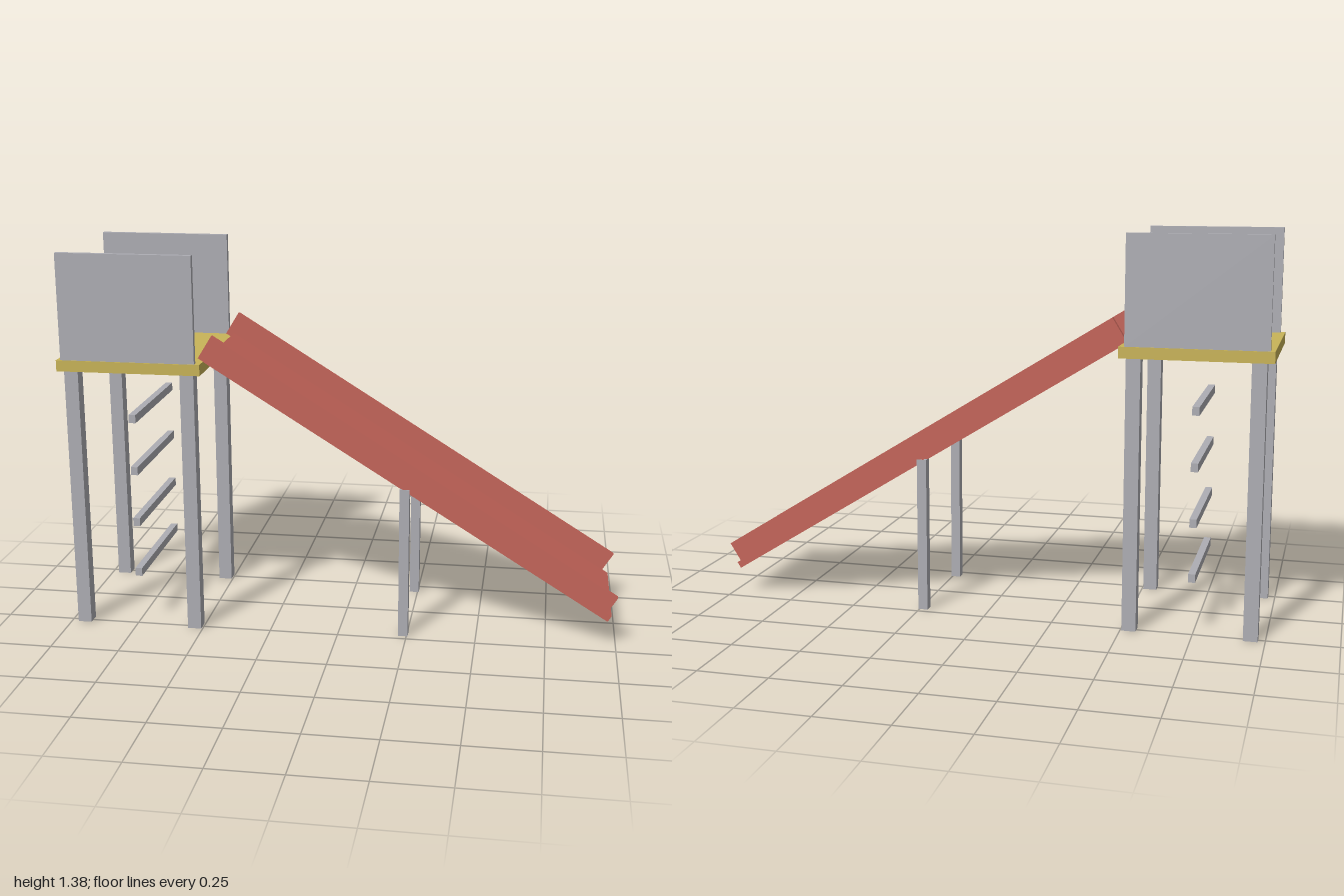
import * as THREE from 'three';

export function createModel() {
  const model = new THREE.Group();
  model.name = 'playgroundSlide';

  const paint = (name, color) => {
    const m = new THREE.MeshStandardMaterial({ color });
    m.name = name;
    return m;
  };
  const grey = paint('grey', 0xaeaeb4);
  const yellow = paint('yellow', 0xc9b458);
  const red = paint('red', 0xc5655a);

  // Box given by its size and centre
  const box = (name, material, [w, h, d], [x, y, z], tilt = 0) => {
    const mesh = new THREE.Mesh(new THREE.BoxGeometry(w, h, d), material);
    mesh.name = name;
    mesh.position.set(x, y, z);
    mesh.rotation.z = tilt;
    model.add(mesh);
  };

  // Platform
  box('deck', yellow, [0.52, 0.04, 0.56], [-0.74, 0.98, 0]);

  // Ladder rungs
  for (let i = 0; i < 4; i++) {
    box('rung', grey, [0.025, 0.03, 0.49], [-0.742, 0.2 + i * 0.195, 0]);
  }

  // Slide bed
  const tilt = -THREE.MathUtils.degToRad(31.77);
  const length = 1.703;
  box('slideBed', red, [length, 0.025, 0.42], [0.25, 0.555, 0], tilt);

  // Parts mirrored front and back
  for (const side of [1, -1]) {
    for (const x of [-0.95, -0.53]) {
      box('platformLeg', grey, [0.05, 0.96, 0.05], [x, 0.48, side * 0.246]);
    }
    box('guardPanel', grey, [0.485, 0.38, 0.02], [-0.742, 1.19, side * 0.267]);
    box('slideWall', red, [length, 0.094, 0.02], [0.25, 0.603, side * 0.216], tilt);
    box('slidePost', grey, [0.035, 0.56, 0.035], [0.237, 0.28, side * 0.21]);
  }

  return model;
}
